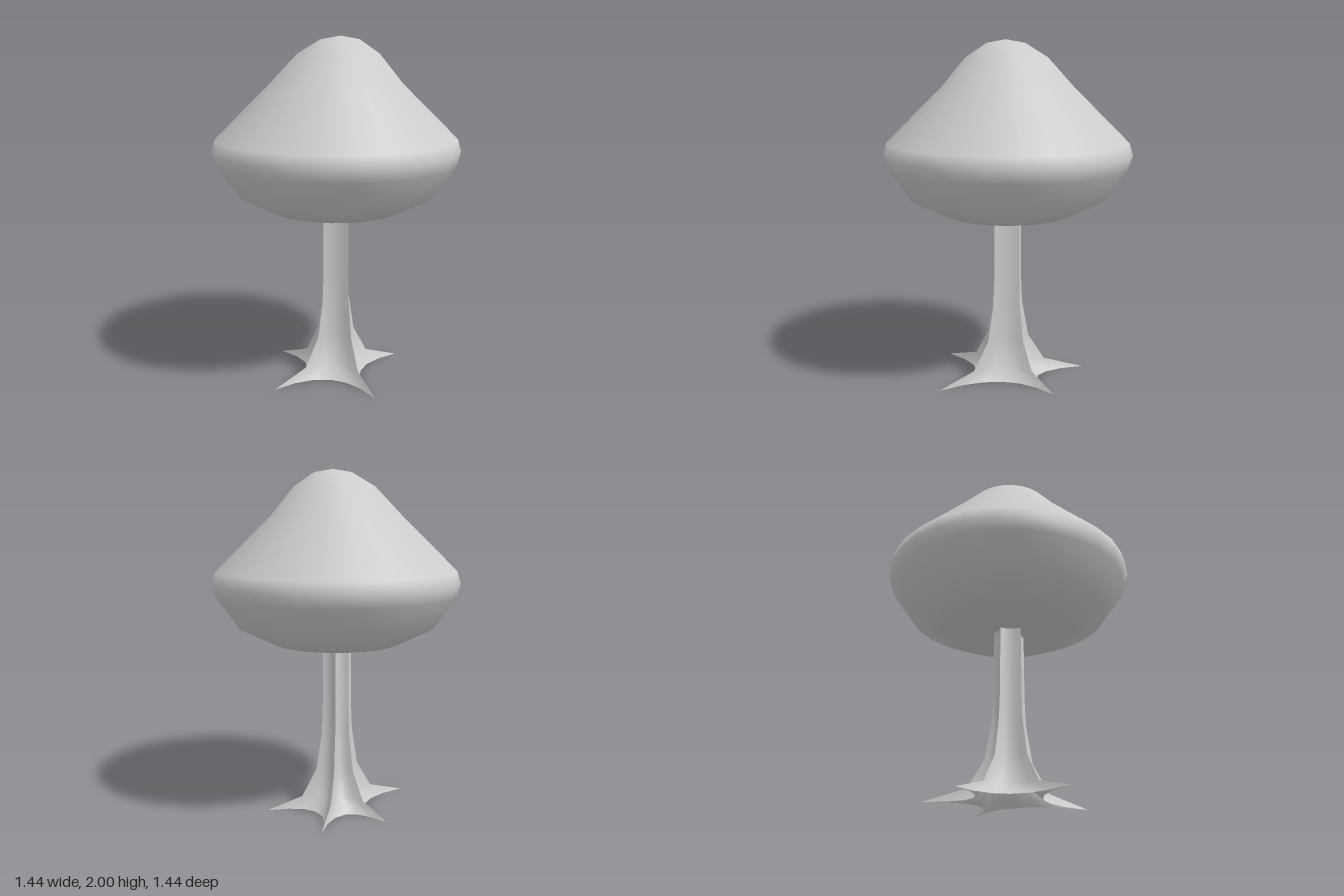
import * as THREE from 'three';

const material = new THREE.MeshStandardMaterial({ color: 0xcccccc, side: THREE.DoubleSide });

// Five unevenly spaced root ridges: angle and reach at the ground and at the top (angle from +z towards +x)
const ridges = [
  { foot: 18, reach: 0.49, top: 30, radius: 0.115 },
  { foot: 110, reach: 0.43, top: 121, radius: 0.088 },
  { foot: 173, reach: 0.47, top: 180, radius: 0.08 },
  { foot: 226, reach: 0.43, top: 235, radius: 0.09 },
  { foot: 304, reach: 0.48, top: 308, radius: 0.106 },
];

// Trunk levels: height, share of the root flare, twist, fullness of the faces between ridges
const levels = [
  { y: 0, flare: 1, twist: 0, fill: 0 },
  { y: 0.07, flare: 0.38, twist: 0.25, fill: 0.18 },
  { y: 0.23, flare: 0.125, twist: 0.6, fill: 0.35 },
  { y: 0.45, flare: 0.025, twist: 0.85, fill: 0.5 },
  { y: 0.6, flare: 0.01, twist: 1, fill: 0.6 },
  { y: 1.01, flare: 0, twist: 1, fill: 0.65 },
];

function ridgePoint(ridge, level) {
  const angle = THREE.MathUtils.degToRad(THREE.MathUtils.lerp(ridge.foot, ridge.top, level.twist));
  const r = THREE.MathUtils.lerp(ridge.radius, ridge.reach, level.flare);
  return new THREE.Vector2(Math.sin(angle) * r, Math.cos(angle) * r);
}

// One fluted face between two neighbouring ridges; separate faces keep the ridges sharp
function fluteGeometry(from, to, steps = 6) {
  const positions = [];
  const index = [];
  levels.forEach((level, j) => {
    const a = ridgePoint(from, level);
    const b = ridgePoint(to, level);
    const control = a.clone().add(b).multiplyScalar(0.5 * level.fill);
    const curve = new THREE.QuadraticBezierCurve(a, control, b);
    for (let i = 0; i <= steps; i++) {
      const p = curve.getPoint(i / steps);
      positions.push(p.x, level.y, p.y);
      if (j < levels.length - 1 && i < steps) {
        const k = j * (steps + 1) + i;
        const up = k + steps + 1;
        index.push(k, k + 1, up, k + 1, up + 1, up);
      }
    }
  });
  const geometry = new THREE.BufferGeometry();
  geometry.setAttribute('position', new THREE.Float32BufferAttribute(positions, 3));
  geometry.setIndex(index);
  geometry.computeVertexNormals();
  return geometry;
}

// Rounded canopy with a softly off-centre crown
function canopyGeometry() {
  const profile = [
    [0, 1], [0.37, 1], [0.575, 1.1], [0.7, 1.28], [0.72, 1.35], [0.7, 1.42],
    [0.38, 1.735], [0.235, 1.9], [0.11, 1.98], [0, 2],
  ].map(([r, y]) => new THREE.Vector2(r, y));
  const geometry = new THREE.LatheGeometry(profile, 28);
  const p = geometry.attributes.position;
  for (let i = 0; i < p.count; i++) {
    const lean = Math.max(0, (p.getY(i) - 1.8) / 0.2);
    p.setX(i, p.getX(i) + 0.022 * lean);
    p.setZ(i, p.getZ(i) + 0.02 * lean);
  }
  return geometry;
}

export function createModel() {
  const model = new THREE.Group();
  model.name = 'tree';

  const trunk = new THREE.Group();
  trunk.name = 'trunk';
  ridges.forEach((ridge, i) => {
    const next = ridges[(i + 1) % ridges.length];
    const face = new THREE.Mesh(fluteGeometry(ridge, next), material);
    face.name = 'trunkFlute' + (i + 1);
    trunk.add(face);
  });

  const canopy = new THREE.Mesh(canopyGeometry(), material);
  canopy.name = 'canopy';

  model.add(trunk, canopy);
  return model;
}
